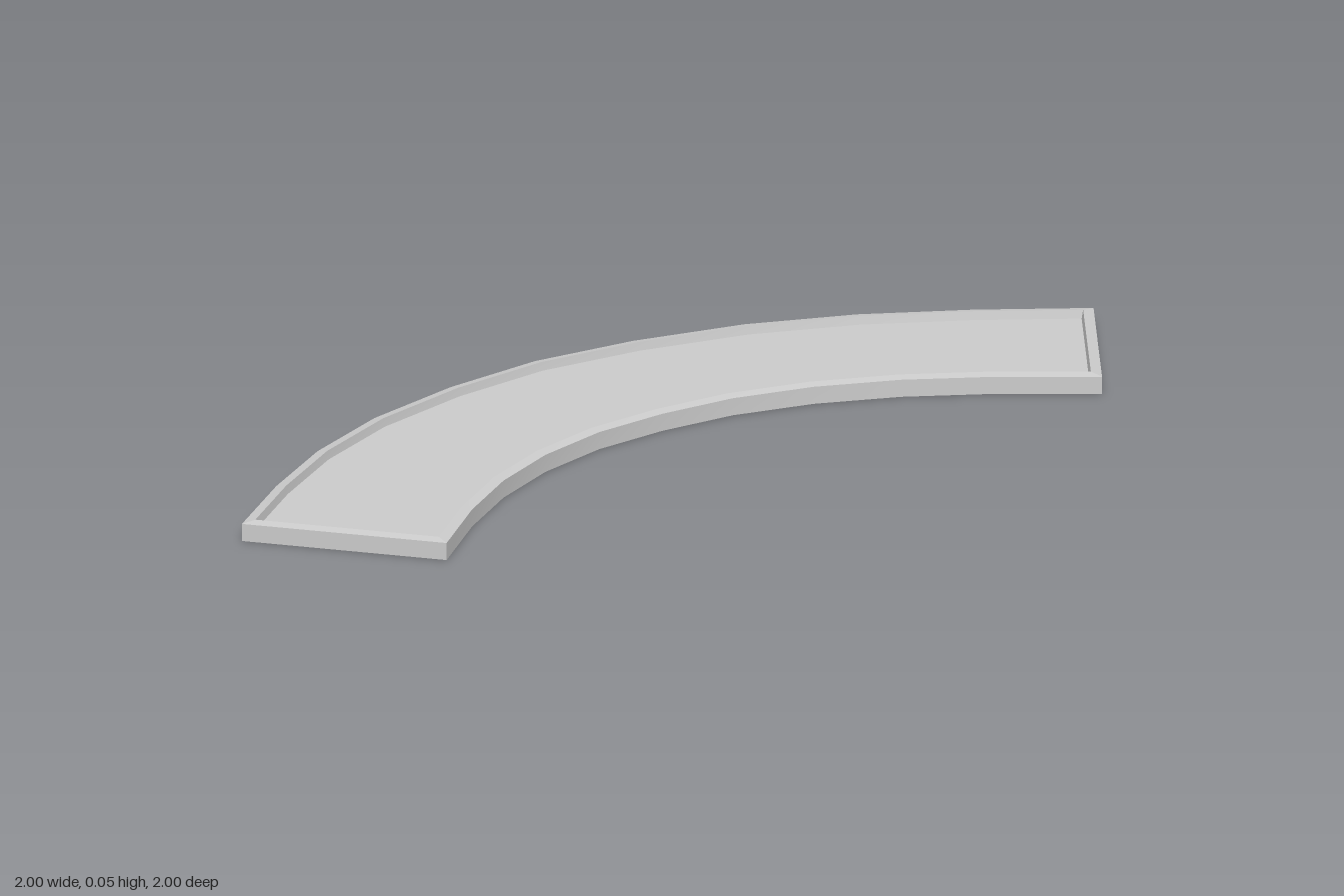
import * as THREE from 'three';
import { mergeGeometries } from 'three/addons/utils/BufferGeometryUtils.js';

// Half of each edge curve as [x, z]; the other half mirrors across x = z
const outerHalf = [[-1, 0.91], [-0.95, 0.61], [-0.88, 0.33], [-0.77, 0.06], [-0.61, -0.2], [-0.425, -0.425]];
const innerHalf = [[-0.475, 0.995], [-0.443, 0.73], [-0.392, 0.5], [-0.312, 0.29], [-0.2, 0.1], [-0.06, -0.06]];

function fullCurve(half) {
  const mirrored = half.slice(0, -1).reverse().map(([x, z]) => [z, x]);
  return [...half, ...mirrored].map(([x, z]) => new THREE.Vector3(x, 0, z));
}

const towards = (from, to, d) => from.clone().add(to.clone().sub(from).setLength(d));

// Outline of the curved slab at height y, pulled in on all four sides
function outline(inset, y) {
  const o = fullCurve(outerHalf), i = fullCurve(innerHalf);
  if (inset > 0) {
    for (const c of [o, i]) {
      const n = c.length;
      c[0] = towards(c[0], c[1], inset);
      c[n - 1] = towards(c[n - 1], c[n - 2], inset);
    }
  }
  const shift = (a, b) => a.map((p, k) => (inset > 0 ? towards(p, b[k], inset) : p.clone()).setY(y));
  return { outer: shift(o, i), inner: shift(i, o) };
}

// Ribbon between two rows of points, smooth along its length
function ribbon(p, q) {
  const index = [];
  for (let k = 0; k < p.length - 1; k++) {
    const a = 2 * k;
    index.push(a, a + 1, a + 2, a + 1, a + 3, a + 2);
  }
  const g = new THREE.BufferGeometry().setFromPoints(p.flatMap((v, k) => [v, q[k]]));
  g.setIndex(index);
  g.computeVertexNormals();
  return g;
}

// The four sides of an outline, as open rows running around it
function sides({ outer, inner }) {
  const n = outer.length - 1;
  return [outer, [outer[n], inner[n]], [...inner].reverse(), [inner[0], outer[0]]];
}

function band(lower, upper) {
  const l = sides(lower), u = sides(upper);
  return mergeGeometries(l.map((row, k) => ribbon(row, u[k])));
}

export function createModel() {
  const group = new THREE.Group();
  group.name = 'curvedTray';
  const material = new THREE.MeshStandardMaterial({ color: 0xcccccc });
  const add = (name, geometry) => {
    const mesh = new THREE.Mesh(geometry, material);
    mesh.name = name;
    group.add(mesh);
  };

  const base = outline(0, 0);
  const rimOuter = outline(0, 0.045);
  const rimInner = outline(0.027, 0.05);
  const floor = outline(0.031, 0.028);

  add('outerWall', band(base, rimOuter));
  add('rim', band(rimOuter, rimInner));
  add('innerWall', band(rimInner, floor));
  add('floor', ribbon(floor.outer, floor.inner));
  add('underside', ribbon(base.inner, base.outer));
  return group;
}
